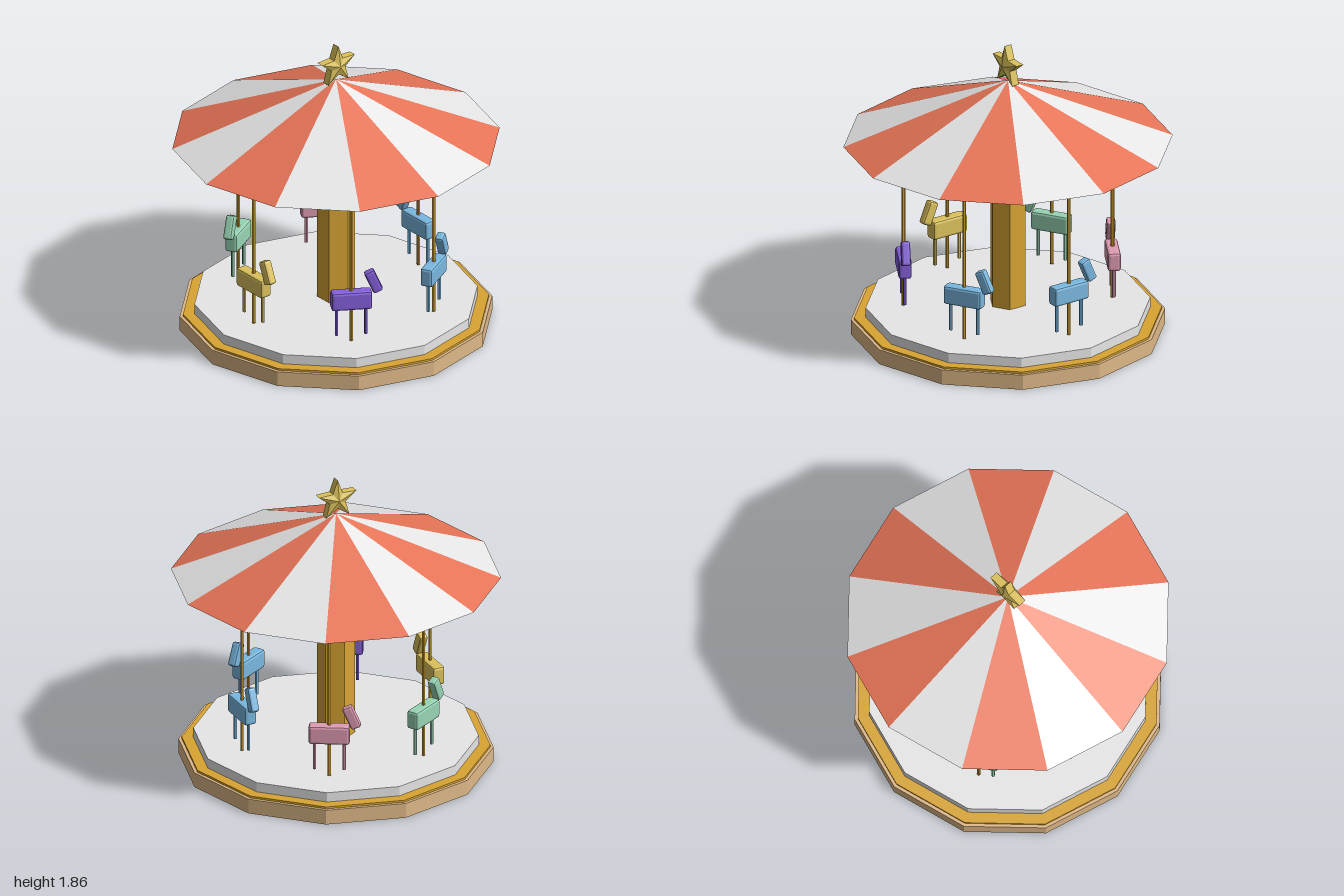
import * as THREE from 'three';
import { RoundedBoxGeometry } from 'three/addons/geometries/RoundedBoxGeometry.js';

const mat = (name, color, side = THREE.FrontSide) =>
  new THREE.MeshStandardMaterial({ name, color, side, flatShading: true });

const tan = mat('tan', 0xdeb887);
const gold = mat('gold', 0xd9a533);
const white = mat('white', 0xf2f2f2, THREE.DoubleSide);
const red = mat('coral red', 0xee785a, THREE.DoubleSide);
const yellow = mat('yellow', 0xdcc25c);
const blue = mat('blue', 0x7ab8e0);
const purple = mat('purple', 0x8560dc);
const pink = mat('pink', 0xdf9cb2);
const green = mat('green', 0x98d4b4);

function part(name, geometry, material, x = 0, y = 0, z = 0) {
  const mesh = new THREE.Mesh(geometry, material);
  mesh.name = name;
  mesh.position.set(x, y, z);
  return mesh;
}

// upright prism between two heights
function column(name, radius, bottom, top, sides, material, x = 0) {
  const geometry = new THREE.CylinderGeometry(radius, radius, top - bottom, sides);
  return part(name, geometry, material, x, (bottom + top) / 2);
}

// one ride: faces local +x, pole at its origin
function createHorse(material) {
  const horse = new THREE.Group();
  horse.name = 'horse';
  horse.add(column('ridePole', 0.011, 0.18, 1.25, 6, gold));
  horse.add(part('body', new RoundedBoxGeometry(0.25, 0.12, 0.08, 1, 0.016), material, 0, 0.457));
  const head = part('head', new RoundedBoxGeometry(0.065, 0.15, 0.056, 1, 0.014), material, 0.136, 0.573);
  head.rotation.z = 0.41;
  horse.add(head);
  for (const x of [-0.09, 0.09]) horse.add(column('leg', 0.011, 0.22, 0.41, 6, material, x));
  return horse;
}

// five-pointed star: a ten-sided double pyramid with every other corner pulled in
function createStar() {
  const profile = [[0, -0.047], [0.132, -0.025], [0.132, 0.025], [0, 0.047]]
    .map(([r, y]) => new THREE.Vector2(r, y));
  const geometry = new THREE.LatheGeometry(profile, 10, Math.PI);
  const p = geometry.attributes.position;
  for (let i = 0; i < p.count; i++) {
    const k = Math.floor(i / profile.length) % 2 ? 0.42 : 1;
    p.setXYZ(i, p.getX(i) * k, p.getY(i), p.getZ(i) * k);
  }
  geometry.rotateX(Math.PI / 2);
  return part('star', geometry, yellow, 0, 1.728);
}

export function createModel() {
  const model = new THREE.Group();
  model.name = 'carousel';

  // stepped platform and centre column
  model.add(column('base', 0.955, 0, 0.095, 12, tan));
  model.add(column('trim', 0.935, 0.09, 0.108, 12, gold));
  model.add(column('floor', 0.865, 0.105, 0.17, 12, white));
  model.add(column('centreColumn', 0.115, 0.165, 1.33, 6, gold));

  // striped open roof
  const roof = new THREE.Group();
  roof.name = 'roof';
  const step = Math.PI / 6;
  for (let i = 0; i < 12; i++) {
    const panel = new THREE.ConeGeometry(1, 0.4, 1, 1, true, i * step, step);
    roof.add(part('roofPanel', panel, i % 2 ? red : white, 0, 1.43));
  }
  model.add(roof);
  model.add(createStar());

  // ring of horses, starting front left and running round the column
  [blue, blue, pink, green, yellow, purple].forEach((material, i) => {
    const angle = Math.PI / 6 + i * Math.PI / 3;
    const horse = createHorse(material);
    horse.position.set(0.635 * Math.sin(angle), 0, 0.635 * Math.cos(angle));
    horse.rotation.y = angle;
    model.add(horse);
  });

  return model;
}
